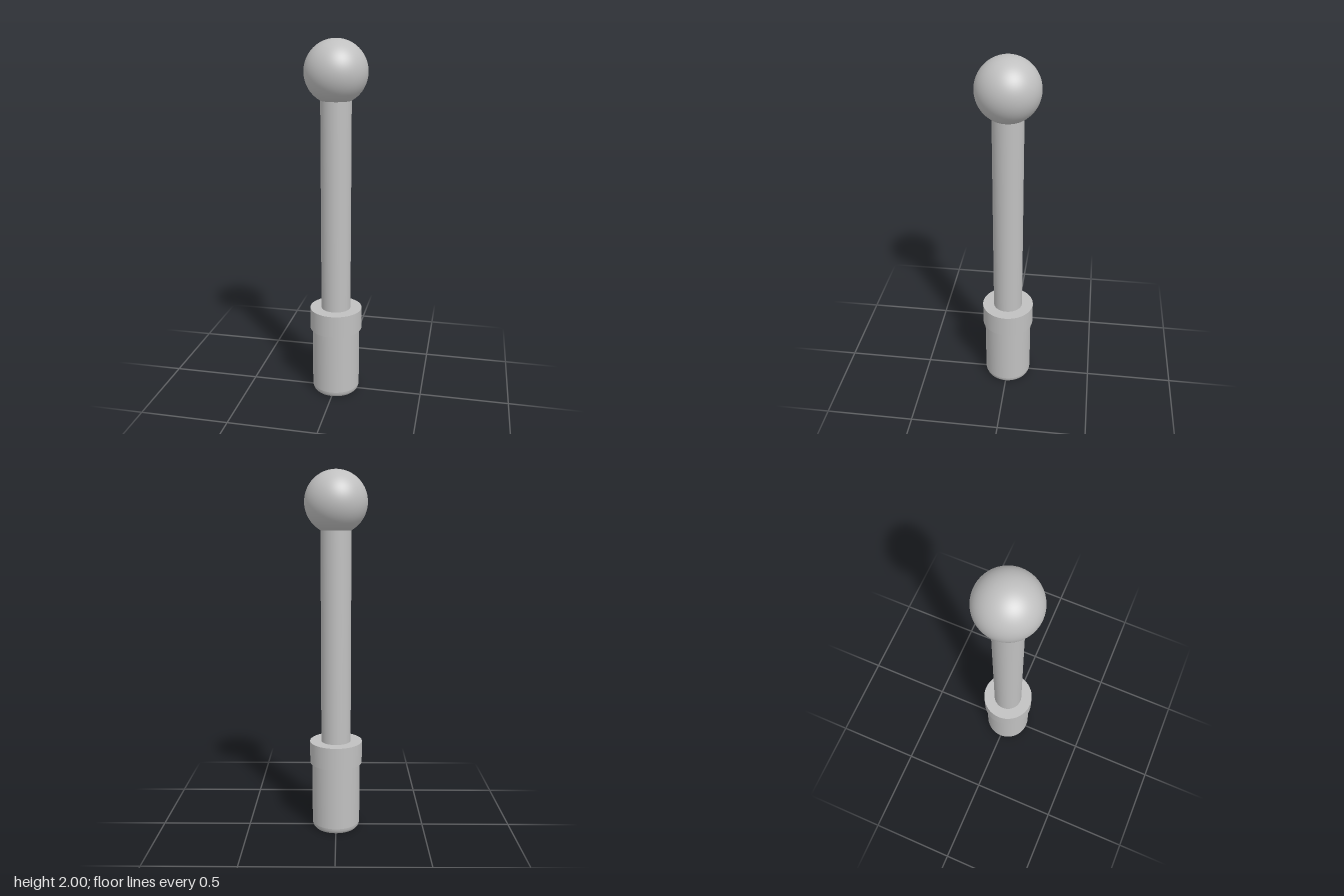
import * as THREE from 'three';

export function createModel() {
  const group = new THREE.Group();
  const metal = new THREE.MeshStandardMaterial({ color: 0xc0c0c0 });
  metal.name = 'plain grey';

  const add = (name, geometry, y) => {
    const mesh = new THREE.Mesh(geometry, metal);
    mesh.name = name;
    mesh.position.y = y;
    group.add(mesh);
  };
  const cylinder = (radius, height) => new THREE.CylinderGeometry(radius, radius, height, 64);

  // Base plug: flat underside, softened lower edge, straight wall
  const wall = [[0.122, 0], [0.129, 0.008], [0.133, 0.018], [0.135, 0.03]];
  const edge = new THREE.LatheGeometry(wall.map(([r, y]) => new THREE.Vector2(r, y)), 64);
  add('baseEdge', edge, 0);
  add('baseUnderside', new THREE.CircleGeometry(0.122, 64).rotateX(Math.PI / 2), 0);
  add('basePlug', cylinder(0.135, 0.37), 0.215);

  // Wider collar above the plug
  add('collar', cylinder(0.147, 0.125), 0.4475);

  // Slim shaft running up into the ball
  add('shaft', cylinder(0.083, 1.19), 1.095);
  add('ball', new THREE.SphereGeometry(0.169, 64, 40), 1.831);

  return group;
}
